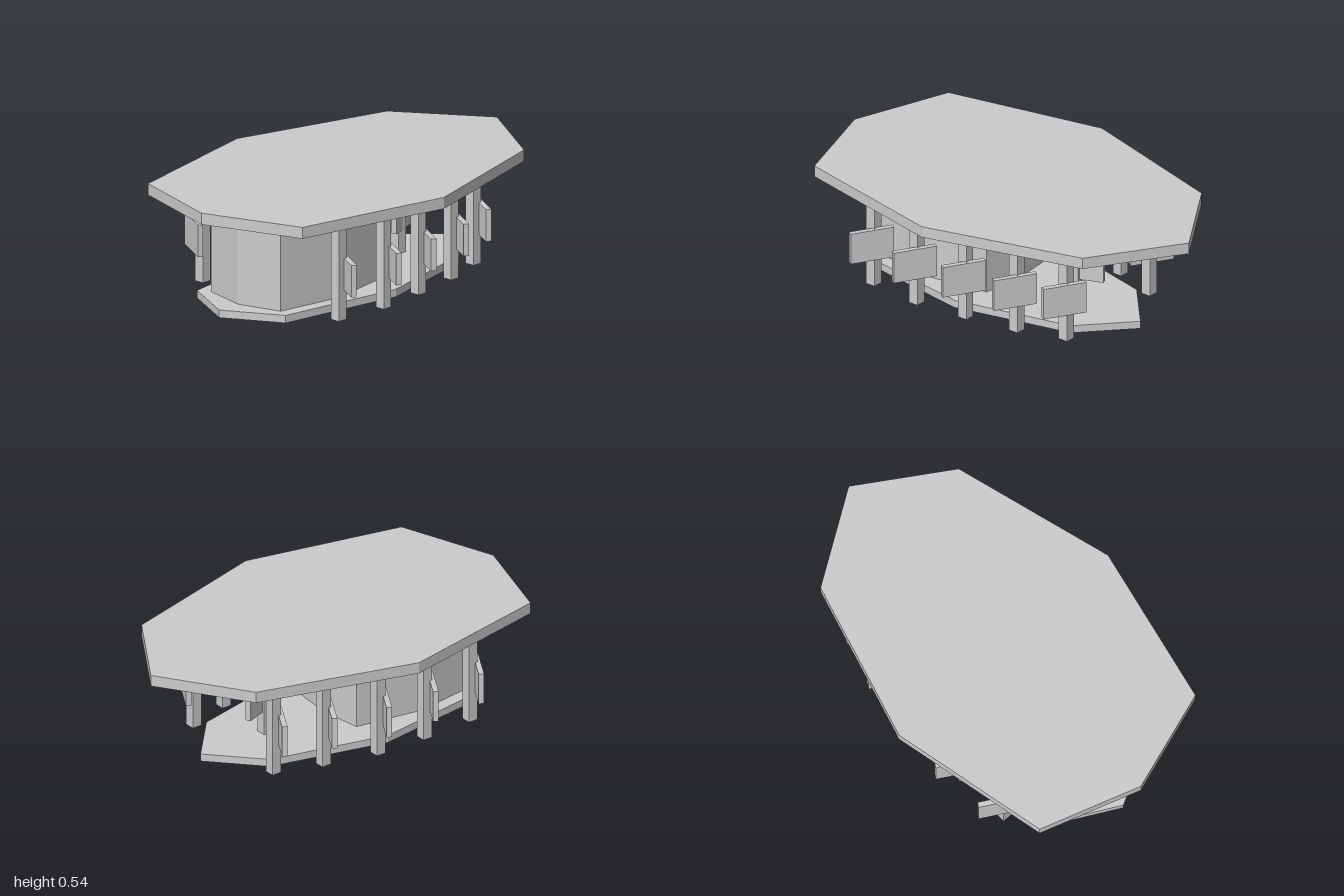
import * as THREE from 'three';

const material = new THREE.MeshStandardMaterial({ color: 0xcccccc, flatShading: true });

// Flat prism between two heights; half holds the [x, z] outline from the -x tip to the +x tip, mirrored in z
function slab(name, half, y0, y1) {
  const mirrored = half.slice(1, -1).reverse().map(([x, z]) => [x, -z]);
  const shape = new THREE.Shape([...half, ...mirrored].map(([x, z]) => new THREE.Vector2(x, -z)));
  const geometry = new THREE.ExtrudeGeometry(shape, { depth: y1 - y0, bevelEnabled: false });
  geometry.rotateX(-Math.PI / 2);
  geometry.translate(0, y0, 0);
  const mesh = new THREE.Mesh(geometry, material);
  mesh.name = name;
  return mesh;
}

function box(name, w, h, d, x, y, z) {
  const mesh = new THREE.Mesh(new THREE.BoxGeometry(w, h, d), material);
  mesh.name = name;
  mesh.position.set(x, y, z);
  return mesh;
}

// Square post with a slanted board fixed to it
function postWithBoard(name, x, z, dx, dz, angle) {
  const group = new THREE.Group();
  group.name = name;
  const board = box('board', 0.212, 0.155, 0.026, dx, 0.225, dz);
  board.rotation.y = angle;
  group.add(box('post', 0.05, 0.475, 0.05, 0, 0.2425, 0), board);
  group.position.set(x, 0, z);
  return group;
}

export function createModel() {
  const model = new THREE.Group();
  model.name = 'pavilion';

  // Roof, core and floor: elongated eight-sided slabs
  model.add(
    slab('roof', [[-1, 0], [-0.84, 0.488], [-0.06, 0.655], [0.72, 0.433], [1, 0]], 0.48, 0.535),
    slab('core', [[-0.755, 0], [-0.70, 0.22], [-0.37, 0.273], [-0.03, 0.22], [-0.005, 0]], 0.03, 0.485),
    slab('floor', [[-0.88, 0], [-0.73, 0.28], [-0.09, 0.38], [0.49, 0.24], [0.71, 0]], 0, 0.037)
  );

  // Rows of posts along both long sides; boards on the back are turned half way round
  const front = [[-0.532, 0.43], [-0.255, 0.455], [0.013, 0.425], [0.282, 0.38], [0.515, 0.303]];
  const back = [[-0.532, -0.43], [-0.255, -0.445], [0.013, -0.44], [0.282, -0.375], [0.515, -0.3]];
  for (const [x, z] of front) model.add(postWithBoard('frontPost', x, z, 0.018, 0.0385, Math.PI / 3));
  for (const [x, z] of back) model.add(postWithBoard('backPost', x, z, -0.018, -0.0385, Math.PI / 3));

  // Single post on the centre line
  model.add(postWithBoard('centrePost', 0.333, 0, 0.03, 0, 0.36));
  return model;
}
